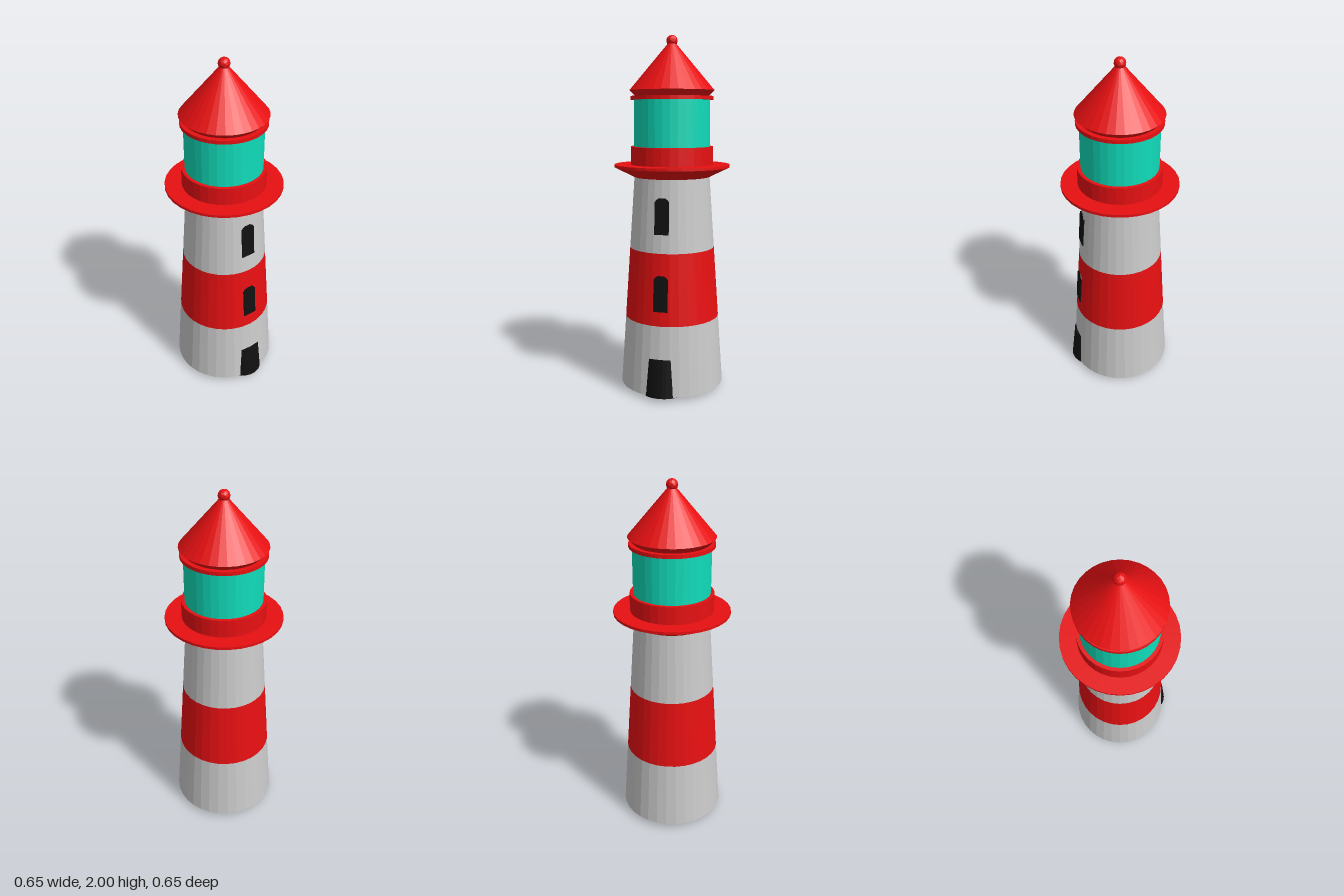
import * as THREE from 'three';

const material = (color) => new THREE.MeshStandardMaterial({ color, flatShading: true });
const SIDES = 32;
const BASE_Y = 0.025, TOP_Y = 1.22, BASE_R = 0.295, TOP_R = 0.213;
const SLOPE = (BASE_R - TOP_R) / (TOP_Y - BASE_Y);
const towerRadius = (y) => BASE_R - (y - BASE_Y) * SLOPE;

export function createModel() {
  const model = new THREE.Group();
  const grey = material(0xcccccc);
  const red = material(0xe81012);
  const teal = material(0x11dcba);
  const black = material(0x111111);

  const add = (name, geometry, mat) => {
    const mesh = new THREE.Mesh(geometry, mat);
    mesh.name = name;
    model.add(mesh);
    return mesh;
  };

  // Round section between two heights
  const section = (name, y0, y1, r0, r1, mat) => {
    const mesh = add(name, new THREE.CylinderGeometry(r1, r0, y1 - y0, SIDES), mat);
    mesh.position.y = (y0 + y1) / 2;
    return mesh;
  };

  // Tapered striped tower
  const bands = [
    ['lowerTower', BASE_Y, 0.42, grey],
    ['middleTower', 0.42, 0.82, red],
    ['upperTower', 0.82, TOP_Y, grey],
  ];
  for (const [name, y0, y1, mat] of bands) {
    section(name, y0, y1, towerRadius(y0), towerRadius(y1), mat);
  }

  // Flared gallery and its parapet
  section('galleryFlare', TOP_Y, 1.275, TOP_R, 0.325, red);
  section('galleryFloor', 1.275, 1.29, 0.325, 0.325, red);
  section('parapet', 1.29, 1.39, 0.232, 0.232, red);

  // Lantern room
  section('lanternGlass', 1.39, 1.648, TOP_R, TOP_R, teal);
  section('lanternRing', 1.648, 1.668, 0.232, 0.232, red);

  // Roof with bevelled eave and ball finial
  section('eave', 1.668, 1.7, 0.205, 0.237, red);
  section('roof', 1.7, 1.975, 0.237, 0.004, red);
  add('finial', new THREE.IcosahedronGeometry(0.032, 1), red).position.y = 1.968;

  // Arched windows laid against the sloping wall
  const outline = [[-0.04, 0], [0.04, 0], [0.04, 0.177], [0.031, 0.19], [0.016, 0.199],
    [-0.016, 0.199], [-0.031, 0.19], [-0.04, 0.177]];
  const arch = new THREE.Shape(outline.map(([x, y]) => new THREE.Vector2(x, y)));
  const windowGeometry = new THREE.ExtrudeGeometry(arch, { depth: 0.03, bevelEnabled: false });
  windowGeometry.translate(0, 0, -0.028);
  for (const [name, y] of [['lowerWindow', 0.5], ['upperWindow', 0.923]]) {
    const mesh = add(name, windowGeometry, black);
    mesh.position.set(0, y, towerRadius(y));
    mesh.rotation.x = -Math.atan(SLOPE);
  }

  // Rounded door: a leaning cylinder sunk into the wall
  const doorGeometry = new THREE.CylinderGeometry(0.107, 0.107, 0.213, SIDES);
  doorGeometry.translate(0, 0.1065, 0);
  const door = add('door', doorGeometry, black);
  door.position.set(0, 0.0125, 0.21);
  door.rotation.x = -0.11;

  return model;
}
